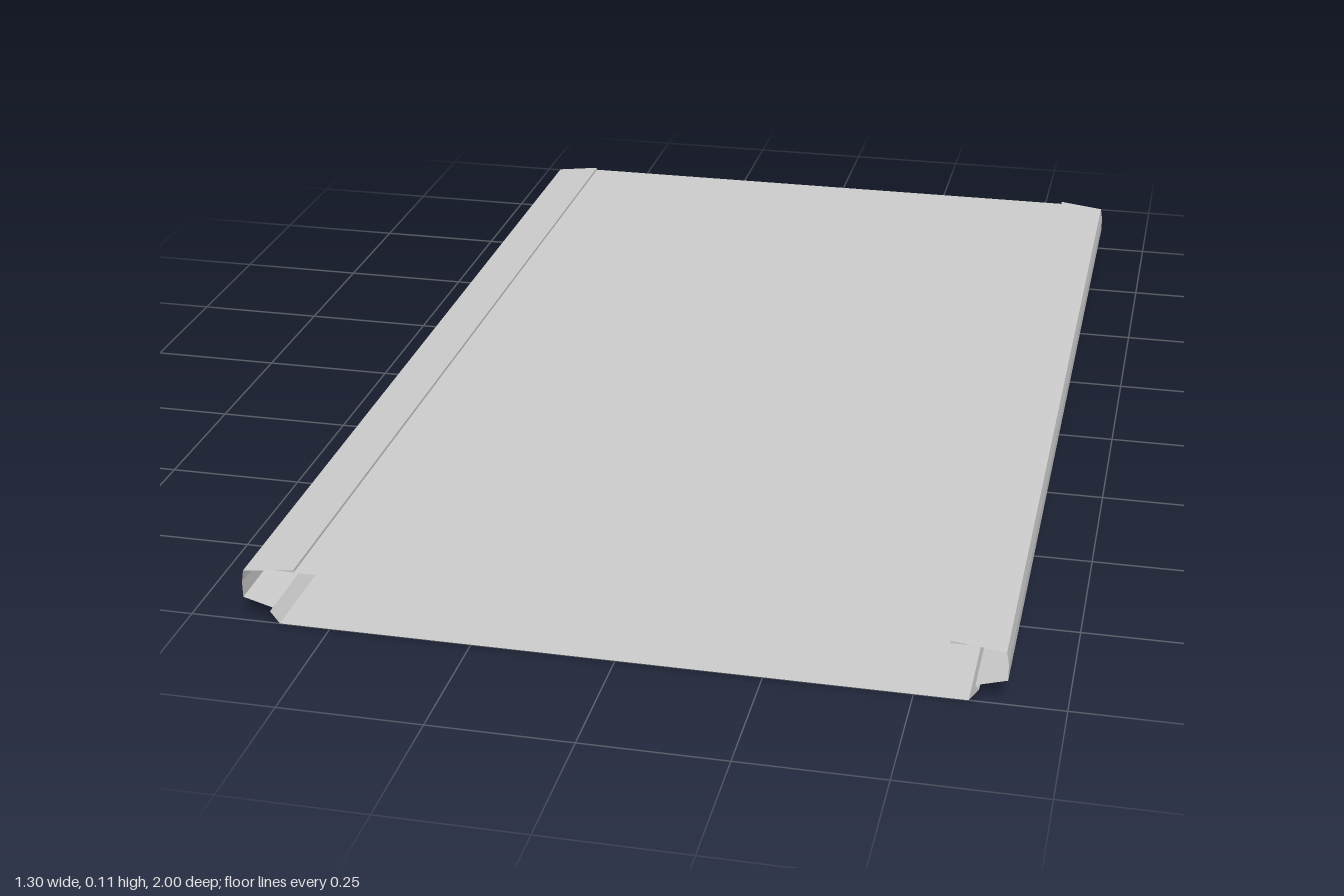
import * as THREE from 'three';

const LENGTH = 2;

// Open sheet: a bent cross-section (x, y) swept straight along z
function sheet(name, profile, material) {
  const pos = [];
  const h = LENGTH / 2;
  for (let i = 0; i < profile.length - 1; i++) {
    const [ax, ay] = profile[i];
    const [bx, by] = profile[i + 1];
    pos.push(ax, ay, h, bx, by, h, bx, by, -h);
    pos.push(ax, ay, h, bx, by, -h, ax, ay, -h);
  }
  const geo = new THREE.BufferGeometry();
  geo.setAttribute('position', new THREE.Float32BufferAttribute(pos, 3));
  geo.computeVertexNormals();
  const mesh = new THREE.Mesh(geo, material);
  mesh.name = name;
  return mesh;
}

export function createModel() {
  const group = new THREE.Group();
  group.name = 'flatTray';
  const material = new THREE.MeshStandardMaterial({
    color: 0xcccccc, flatShading: true, side: THREE.DoubleSide,
  });

  // Flat bottom and top panels
  group.add(sheet('bottomPanel', [[0.59, 0], [-0.59, 0]], material));
  group.add(sheet('topPanel', [[-0.59, 0.103], [0.59, 0.103]], material));

  // Folded side rail: inset foot, ledge, wall and the lip over the top panel
  const rail = [
    [0.59, 0], [0.606, 0.022], [0.6, 0.03], [0.652, 0.045],
    [0.652, 0.074], [0.648, 0.097], [0.557, 0.108],
  ];
  // Thin wedge under the lip's inner edge
  const wedge = [[0.59, 0.104], [0.557, 0.108], [0.557, 0.103]];

  for (const s of [1, -1]) {
    const side = s > 0 ? 'left' : 'right';
    const place = (pts) => {
      const p = pts.map(([x, y]) => [s * x, y]);
      return s > 0 ? p.reverse() : p;
    };
    group.add(sheet(side + 'Rail', place(rail).reverse(), material));

    const shape = new THREE.Shape(place(wedge).map(([x, y]) => new THREE.Vector2(x, y)));
    const geo = new THREE.ExtrudeGeometry(shape, { depth: LENGTH, bevelEnabled: false });
    geo.translate(0, 0, -LENGTH / 2);
    const lip = new THREE.Mesh(geo, material);
    lip.name = side + 'LipEdge';
    group.add(lip);
  }
  return group;
}
